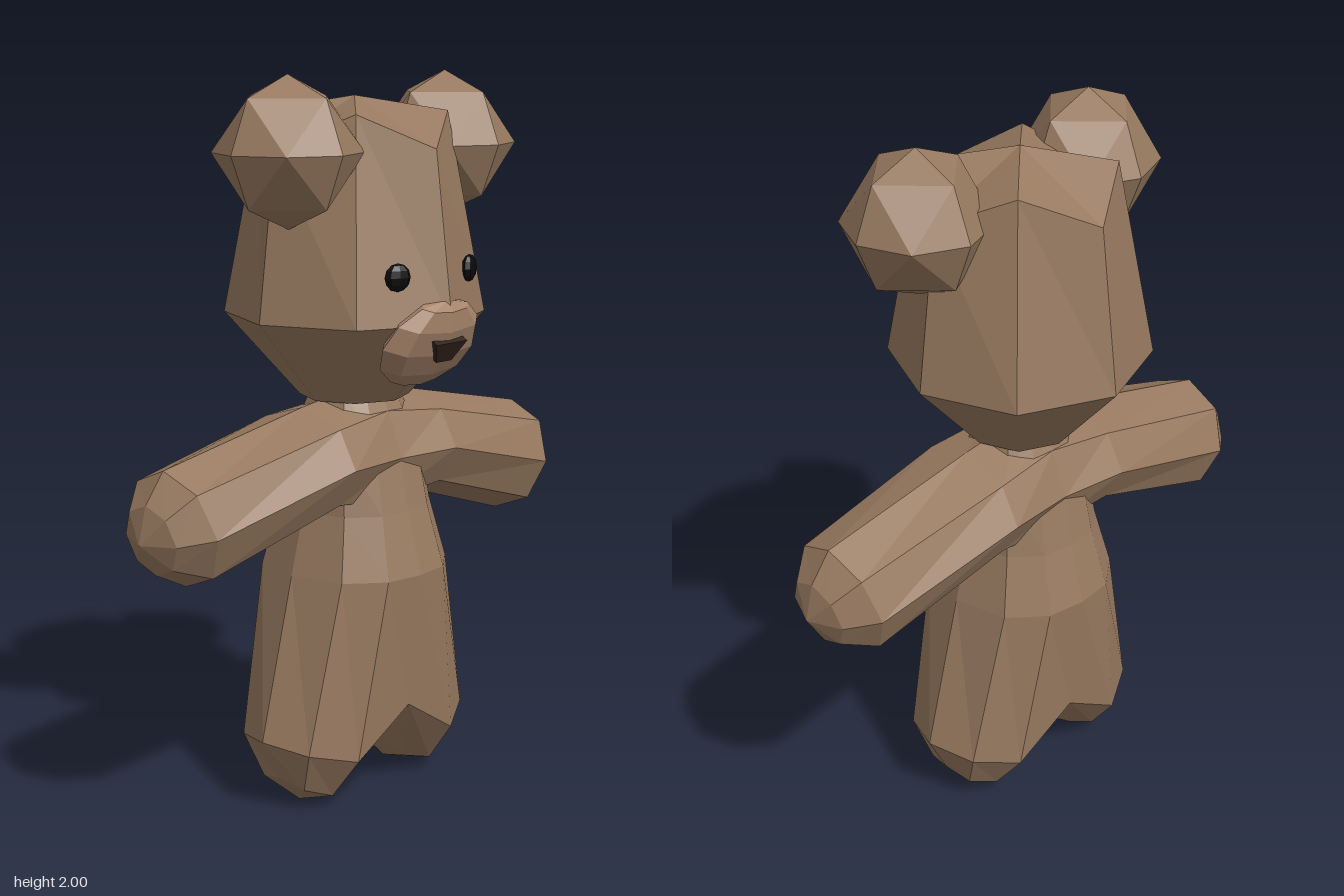
import * as THREE from 'three';

const mat = (color) => new THREE.MeshStandardMaterial({ color, flatShading: true });
const fur = mat(0x987a60), muzzleFur = mat(0xa8856b), black = mat(0x0a0a0a), noseBrown = mat(0x32241c);

function part(parent, name, geometry, material, x = 0, y = 0, z = 0) {
  const mesh = new THREE.Mesh(geometry, material);
  mesh.name = name;
  mesh.position.set(x, y, z);
  parent.add(mesh);
  return mesh;
}

// Faceted skin over rings of points, closed by an apex at either end
function loft(rings, startTip, endTip) {
  const pos = [];
  const tri = (...pts) => pts.forEach((p) => pos.push(...p));
  const n = rings[0].length;
  for (let j = 0; j < n; j++) {
    const k = (j + 1) % n;
    for (let i = 0; i < rings.length - 1; i++) {
      const a = rings[i], b = rings[i + 1];
      tri(a[j], b[j], b[k]);
      tri(a[j], b[k], a[k]);
    }
    if (startTip) tri(startTip, rings[0][j], rings[0][k]);
    const last = rings[rings.length - 1];
    if (endTip) tri(last[j], endTip, last[k]);
  }
  const g = new THREE.BufferGeometry();
  g.setAttribute('position', new THREE.Float32BufferAttribute(pos, 3));
  g.computeVertexNormals();
  return g;
}

// Mirrors points or rings across x = 0, reversing order to keep faces outward
const flip = ([x, y, z]) => [-x, y, z];
const flipRing = (ring) => ring.map(flip).reverse();

const eight = (fn) => Array.from({ length: 8 }, (_, k) => fn((k * Math.PI) / 4, k));

export function createModel() {
  const model = new THREE.Group();
  model.name = 'teddyBear';

  // Head: eight-sided, with the crown's corners lifted between the four main points
  const headRing = (r, y, rCorner = r, yCorner = y) => eight((a, k) => {
    const radius = k % 2 ? rCorner : r;
    return [Math.sin(a) * radius, k % 2 ? yCorner : y, Math.cos(a) * radius];
  });
  part(model, 'head', loft(
    [headRing(0.295, 1.81, 0.25, 1.9), headRing(0.355, 1.36), headRing(0.15, 1.13)],
    [0, 1.94, 0], [0, 1.11, 0]), fur);

  // Torso half and leg: rings run inner front, front, corner, side and round the back
  const halfRing = (y, w, d) => [
    [0, y, d], [w * 0.45, y, d * 0.94], [w * 0.85, y, d * 0.62], [w, y, 0],
    [w * 0.85, y, -d * 0.62], [w * 0.45, y, -d * 0.94], [0, y, -d], [0, y, 0],
  ];
  const backed = (front, side, inner) =>
    [...front, side, ...front.map(([x, y, z]) => [x, y, -z]).reverse(), inner];
  const bodyRings = [
    halfRing(1.16, 0.12, 0.1),
    halfRing(1.0, 0.18, 0.17),
    halfRing(0.83, 0.2, 0.205),
    halfRing(0.66, 0.245, 0.25),
    backed([[0, 0.28, 0.21], [0.19, 0.16, 0.2], [0.31, 0.19, 0.13]], [0.36, 0.21, 0], [0, 0.16, 0]),
    backed([[0.14, 0.05, 0.07], [0.2, 0.04, 0.11], [0.28, 0.07, 0.08]], [0.3, 0.09, 0], [0.12, 0.04, 0]),
  ];
  const toe = [0.22, 0.005, 0];
  const neck = [0, 1.16, 0];
  part(model, 'leftBodyAndLeg', loft(bodyRings, neck, toe), fur);
  part(model, 'rightBodyAndLeg', loft(bodyRings.map(flipRing), neck, flip(toe)), fur);

  // Arms: [top x, top y, bottom x, bottom y, half depth] from chest to paw
  const armStations = [
    [0, 1.15, 0, 0.8, 0.18], [0.2, 1.12, 0.2, 0.83, 0.2],
    [0.67, 1.02, 0.6, 0.7, 0.165], [0.73, 0.94, 0.7, 0.75, 0.1],
  ];
  const armRings = (shift) => armStations.map(([xt, yt, xb, yb, d], i) => eight((a) => {
    const t = (1 + Math.sin(a)) / 2;
    return [xb + (xt - xb) * t, yb + (yt - yb) * t, d * Math.cos(a) + (i > 1 ? shift : 0)];
  }));
  part(model, 'leftArm', loft(armRings(0.01), null, [0.755, 0.84, 0.01]), fur);
  part(model, 'rightArm', loft(armRings(-0.025).map(flipRing), null, [-0.755, 0.84, -0.025]), fur);

  // Ears and eyes
  for (const [side, s] of [['left', 1], ['right', -1]]) {
    part(model, side + 'Ear', new THREE.OctahedronGeometry(0.197, 1), fur, s * 0.3, 1.805, 0.055);
    const eye = part(model, side + 'Eye', new THREE.SphereGeometry(0.037, 8, 6), black, s * 0.14, 1.49, 0.29);
    eye.scale.z = 0.5;
    eye.rotation.y = s * 0.39;
  }

  // Muzzle: a flattened faceted dome leaning down over the chin
  const muzzle = part(model, 'muzzle', new THREE.SphereGeometry(1, 8, 6), muzzleFur, 0, 1.305, 0.275);
  muzzle.scale.set(0.18, 0.135, 0.062);
  muzzle.rotation.x = 0.5;

  // Nose
  const noseShape = new THREE.Shape(
    [[-0.06, 0.03], [-0.03, -0.03], [0.03, -0.03], [0.06, 0.03]].map(([x, y]) => new THREE.Vector2(x, y)));
  const nose = part(model, 'nose',
    new THREE.ExtrudeGeometry(noseShape, { depth: 0.03, bevelEnabled: false }), noseBrown, 0, 1.3, 0.315);
  nose.rotation.x = 0.5;

  return model;
}
